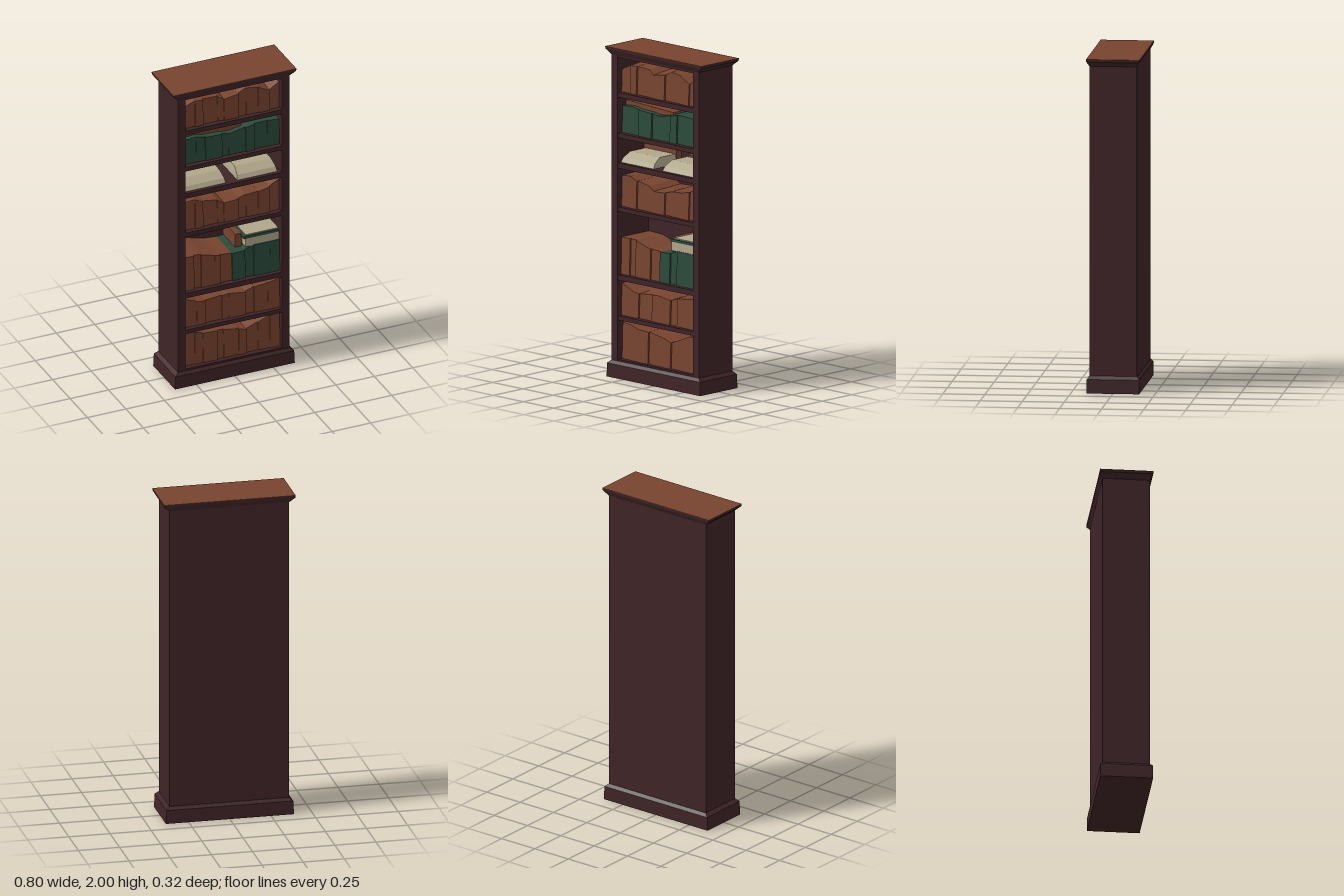
import * as THREE from 'three';

const mat = (name, color) => {
  const m = new THREE.MeshStandardMaterial({ color });
  m.name = name;
  return m;
};

export function createModel() {
  const wood = mat('dark mahogany', 0x3f2427);
  const brown = mat('brown leather', 0x78442f);
  const green = mat('green cloth', 0x2c4a3c);
  const cream = mat('cream paper', 0xb0a68a);

  const model = new THREE.Group();
  model.name = 'bookcase';

  // Box given by its limits; the optional rule moves its corners
  function block(parent, name, material, [x0, x1], [y0, y1], [z0, z1], rule) {
    const g = new THREE.BoxGeometry(x1 - x0, y1 - y0, z1 - z0);
    g.translate((x0 + x1) / 2, (y0 + y1) / 2, (z0 + z1) / 2);
    if (rule) {
      const p = g.attributes.position;
      const v = new THREE.Vector3();
      for (let i = 0; i < p.count; i++) {
        v.fromBufferAttribute(p, i);
        rule(v, v.y > (y0 + y1) / 2, v.z > (z0 + z1) / 2, v.x > (x0 + x1) / 2);
        p.setXYZ(i, v.x, v.y, v.z);
      }
      g.computeVertexNormals();
    }
    const mesh = new THREE.Mesh(g, material);
    mesh.name = name;
    parent.add(mesh);
    return mesh;
  }

  // Moulding with a different footprint at its bottom and top
  const moulding = (name, y, [bx, bz], [tx, tz]) =>
    block(model, name, wood, [-1, 1], y, [-1, 1], (v, top) => {
      v.x = Math.sign(v.x) * (top ? tx : bx);
      v.z = Math.sign(v.z) * (top ? tz : bz);
    });

  // Plinth and cornice
  moulding('plinth', [0, 0.083], [0.389, 0.157], [0.385, 0.156]);
  moulding('plinthBevel', [0.083, 0.102], [0.385, 0.156], [0.363, 0.142]);
  moulding('corniceFlare', [1.955, 1.983], [0.363, 0.142], [0.395, 0.156]);
  moulding('corniceLip', [1.983, 1.997], [0.396, 0.157], [0.399, 0.159]);
  block(model, 'topPanel', brown, [-0.399, 0.399], [1.997, 2], [-0.159, 0.159]);

  // Case: sides, back and shelves
  for (const s of [-1, 1]) {
    const x = s < 0 ? [-0.363, -0.314] : [0.314, 0.363];
    block(model, s < 0 ? 'rightSide' : 'leftSide', wood, x, [0.1, 1.957], [-0.141, 0.141]);
  }
  block(model, 'backPanel', wood, [-0.314, 0.314], [0.1, 1.957], [-0.141, -0.122]);
  const shelves = [[0.1, 0.112], [0.35, 0.376], [0.592, 0.625], [1.008, 1.036],
    [1.27, 1.303], [1.455, 1.483], [1.7, 1.73], [1.942, 1.957]];
  shelves.forEach((y, i) =>
    block(model, 'shelf' + (i + 1), wood, [-0.314, 0.314], y, [-0.122, 0.138]));

  // Row of books: tops holds heights at the joints, so each top edge slopes
  function bookRow(name, material, [x0, x1], floor, tops, rise, front = 0.115) {
    const row = new THREE.Group();
    row.name = name;
    model.add(row);
    const n = tops.length - 1;
    const joint = (i) => x0 + ((x1 - x0) * (i + (i > 0 && i < n ? 0.22 * Math.sin(i * 2.7) : 0))) / n;
    for (let i = 0; i < n; i++) {
      const z = front - 0.006 * (1 + Math.sin(i * 2.1 + floor * 9));
      block(row, 'book', material, [joint(i), joint(i + 1)], [floor, tops[i]], [-0.122, z],
        (v, top, near, right) => {
          if (top) v.y = (right ? tops[i + 1] : tops[i]) + (near ? 0 : rise);
          if (top && near) v.z -= 0.006;
        });
    }
  }
  const full = [-0.312, 0.312];
  bookRow('bottomBooks', brown, full, 0.112,
    [0.332, 0.325, 0.31, 0.305, 0.3, 0.285, 0.27, 0.3, 0.33, 0.335], 0.01);
  bookRow('secondBooks', brown, full, 0.376,
    [0.57, 0.535, 0.525, 0.535, 0.54, 0.525, 0.545, 0.555, 0.57], 0.018);
  bookRow('thirdBrownBooks', brown, [-0.312, 0.005], 0.625,
    [0.85, 0.848, 0.845, 0.82, 0.812, 0.806], 0);
  bookRow('thirdGreenBooks', green, [0.005, 0.312], 0.625,
    [0.806, 0.81, 0.832, 0.83, 0.832], 0);
  bookRow('fourthBooks', brown, full, 1.036,
    [1.222, 1.228, 1.205, 1.19, 1.165, 1.17, 1.185, 1.19, 1.205, 1.24], 0.01);
  bookRow('sixthBooks', green, full, 1.483,
    [1.645, 1.65, 1.64, 1.635, 1.625, 1.645, 1.655, 1.655, 1.65], 0.004);
  bookRow('topBooks', brown, full, 1.73,
    [1.87, 1.9, 1.9, 1.895, 1.87, 1.885, 1.91, 1.9, 1.86, 1.9], 0.022);

  // Books lying flat on the third shelf
  block(model, 'lyingPages', cream, [0.095, 0.312], [0.828, 0.882], [-0.122, 0.1]);
  block(model, 'lyingCover', green, [0.085, 0.312], [0.882, 0.898], [-0.122, 0.1]);
  block(model, 'lyingCoverTop', cream, [0.1, 0.312], [0.898, 0.904], [-0.122, 0.09]);
  block(model, 'lyingSpine', brown, [0.05, 0.095], [0.81, 0.898], [-0.122, 0.05]);

  // Brown books lying on top of the green row
  block(model, 'brownOnGreen', brown, [-0.312, 0.08], [1.63, 1.675], [-0.122, 0.07],
    (v, top, near, right) => { if (top && right) v.y -= 0.018; });

  // Paper piles on the fifth shelf, sloping up to the back
  for (const [x0, x1] of [[-0.31, -0.04], [0.035, 0.295]]) {
    block(model, 'paperPile', cream, [x0, x1], [1.303, 1.33], [-0.11, 0.115],
      (v, top, near, right) => { if (top) { v.x += right ? -0.004 : 0.004; v.z -= near ? 0.015 : 0; } });
    block(model, 'paperPileTop', cream, [x0 + 0.004, x1 - 0.004], [1.33, 1.362], [-0.11, 0.1],
      (v, top, near, right) => { if (top) { v.x += right ? -0.008 : 0.008; v.z -= near ? 0.05 : 0; } });
  }
  block(model, 'coverBehindPile', brown, [-0.312, -0.04], [1.303, 1.388], [-0.122, -0.08]);
  block(model, 'coverBehindPile', brown, [0.04, 0.29], [1.303, 1.372], [-0.122, -0.08]);

  return model;
}
